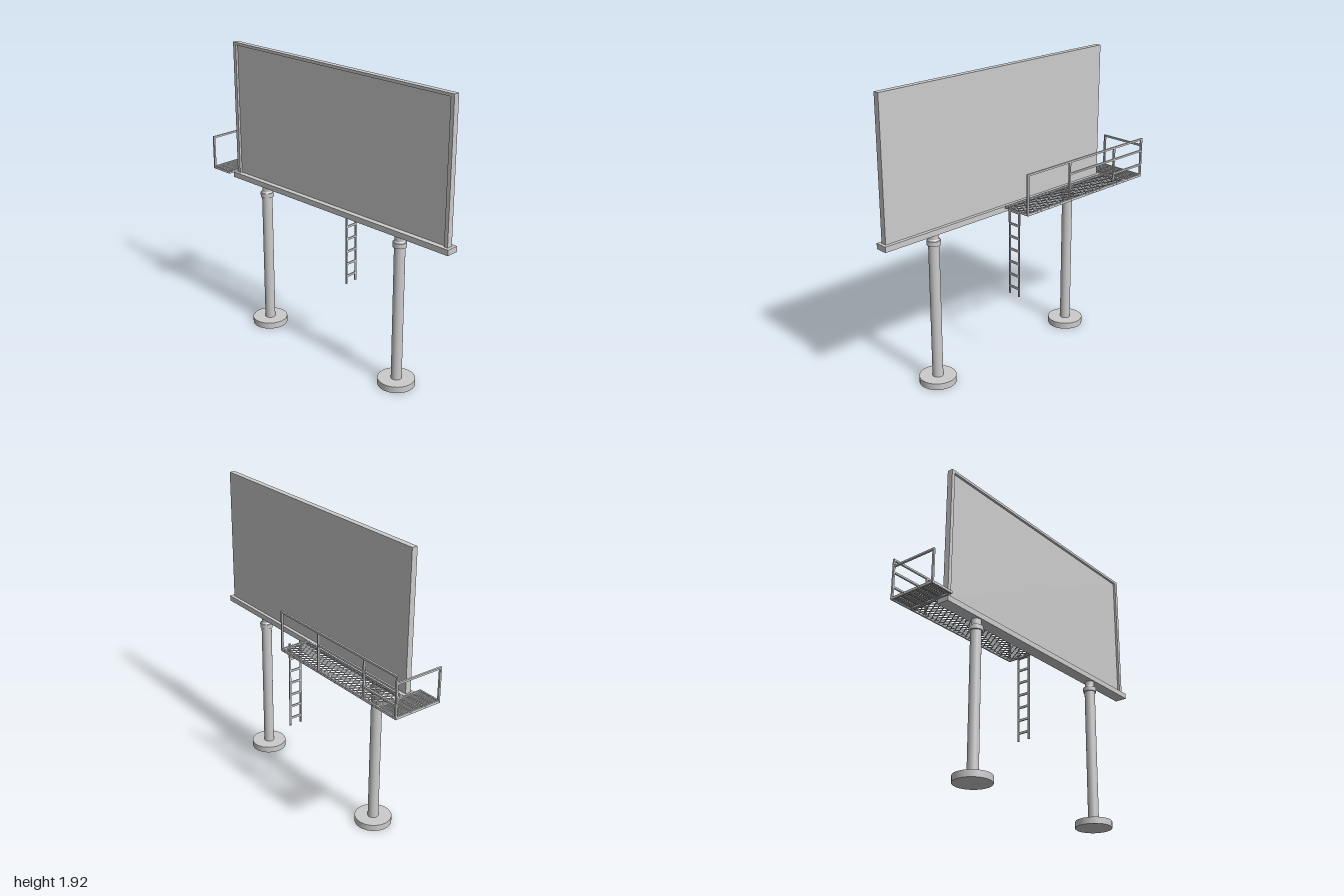
import * as THREE from 'three';
import { mergeGeometries } from 'three/addons/utils/BufferGeometryUtils.js';

const steel = new THREE.MeshStandardMaterial({ color: 0xcccccc });

function add(parent, name, geometry) {
  const mesh = new THREE.Mesh(geometry, steel);
  mesh.name = name;
  parent.add(mesh);
  return mesh;
}

// Box given by its limits on each axis
function box(parent, name, x0, x1, y0, y1, z0, z1) {
  const g = new THREE.BoxGeometry(x1 - x0, y1 - y0, z1 - z0);
  return add(parent, name, g.translate((x0 + x1) / 2, (y0 + y1) / 2, (z0 + z1) / 2));
}

// Square bar between two points lying along one axis
function bar(parent, name, a, b, t = 0.012) {
  const h = t / 2;
  const lo = a.map((v, i) => Math.min(v, b[i]) - h);
  const hi = a.map((v, i) => Math.max(v, b[i]) + h);
  return box(parent, name, lo[0], hi[0], lo[1], hi[1], lo[2], hi[2]);
}

// Upright cylinder between two heights
function drum(parent, name, x, z, y0, y1, rBottom, rTop = rBottom) {
  const g = new THREE.CylinderGeometry(rTop, rBottom, y1 - y0, 32);
  return add(parent, name, g.translate(x, (y0 + y1) / 2, z));
}

// Diamond grating: two families of slanted strips, cut off at the x limits.
// Strips run the full depth w; "lean" is how far they shift along the length.
function diamondGrid(length, w, pitch, lean) {
  const strips = [];
  for (const dir of [1, -1]) {
    for (let s = -lean; s < length; s += pitch) {
      // Strip goes from u = s to s + lean while v goes from 0 to w
      const u0 = Math.max(0, s), u1 = Math.min(length, s + lean);
      if (u1 - u0 < 0.004) continue;
      let v0 = ((u0 - s) / lean) * w, v1 = ((u1 - s) / lean) * w;
      if (dir < 0) { v0 = w - v0; v1 = w - v1; }
      const g = new THREE.BoxGeometry(Math.hypot(u1 - u0, v1 - v0), 0.006, 0.004);
      g.rotateY(-Math.atan2(v1 - v0, u1 - u0));
      g.translate((u0 + u1) / 2, 0, (v0 + v1) / 2);
      strips.push(g);
    }
  }
  return mergeGeometries(strips);
}

// Walkway section: edge frame and grating
function deck(parent, name, x0, x1, z0, z1, pitch, lean) {
  const group = new THREE.Group();
  group.name = name;
  parent.add(group);
  const y0 = 1.03, y1 = 1.046, t = 0.01;
  box(group, 'deckEdge', x0, x1, y0, y1, z0, z0 + t);
  box(group, 'deckEdge', x0, x1, y0, y1, z1 - t, z1);
  box(group, 'deckEdge', x0, x0 + t, y0, y1, z0 + t, z1 - t);
  box(group, 'deckEdge', x1 - t, x1, y0, y1, z0 + t, z1 - t);
  const grid = add(group, 'grating', diamondGrid(x1 - x0, z1 - z0, pitch, lean));
  grid.position.set(x0, 1.039, z0);
}

export function createModel() {
  const model = new THREE.Group();
  model.name = 'billboard';

  // Sign board with a raised border on the front
  const board = new THREE.Group();
  board.name = 'signBoard';
  model.add(board);
  box(board, 'panel', -0.815, 0.98, 1.035, 1.92, 0.05, 0.073);
  box(board, 'borderTop', -0.815, 0.98, 1.902, 1.92, 0.073, 0.088);
  box(board, 'borderRight', -0.815, -0.79, 1.035, 1.902, 0.073, 0.088);
  box(board, 'borderLeft', 0.955, 0.98, 1.035, 1.902, 0.073, 0.088);
  box(model, 'supportBeam', -0.835, 1, 1.0, 1.036, 0.027, 0.108);

  // Posts with footings and collars
  for (const x of [-0.545, 0.615]) {
    const post = new THREE.Group();
    post.name = 'post';
    model.add(post);
    const z = 0.069;
    drum(post, 'footing', x, z, 0, 0.042, 0.117);
    drum(post, 'shaft', x, z, 0.042, 0.932, 0.034);
    drum(post, 'collar', x, z, 0.928, 0.958, 0.043);
    drum(post, 'shoulder', x, z, 0.958, 0.968, 0.037, 0.031);
    drum(post, 'neck', x, z, 0.958, 1.0, 0.031);
  }

  // Walkway behind the board and around its end
  const walkway = new THREE.Group();
  walkway.name = 'walkway';
  model.add(walkway);
  deck(walkway, 'backDeck', -0.835, 0.08, -0.186, 0.014, 0.034, 0.12);
  deck(walkway, 'endDeck', -1, -0.837, -0.186, 0.143, 0.015, 0.045);

  // Back railing
  const rail = new THREE.Group();
  rail.name = 'railing';
  model.add(rail);
  const zb = -0.18, xe = -0.994;
  for (const x of [0.074, -0.295, -0.717, xe]) {
    bar(rail, 'railPost', [x, 1.04, zb], [x, 1.293, zb]);
  }
  bar(rail, 'topRail', [xe, 1.293, zb], [0.074, 1.293, zb]);
  bar(rail, 'middleRail', [xe, 1.212, zb], [-0.295, 1.212, zb]);
  bar(rail, 'lowerRail', [xe, 1.115, zb], [-0.717, 1.115, zb]);

  // End railing
  bar(rail, 'endPost', [xe, 1.04, 0.137], [xe, 1.25, 0.137]);
  bar(rail, 'endRail', [xe, 1.25, zb], [xe, 1.25, 0.137]);

  // Access ladder
  const ladder = new THREE.Group();
  ladder.name = 'ladder';
  model.add(ladder);
  for (const z of [-0.034, -0.116]) {
    box(ladder, 'ladderRail', 0.082, 0.09, 0.467, 1.055, z - 0.006, z + 0.006);
  }
  for (let i = 0; i < 7; i++) {
    const y = 0.52 + i * 0.0855;
    box(ladder, 'rung', 0.082, 0.09, y - 0.007, y + 0.007, -0.112, -0.038);
  }
  return model;
}
